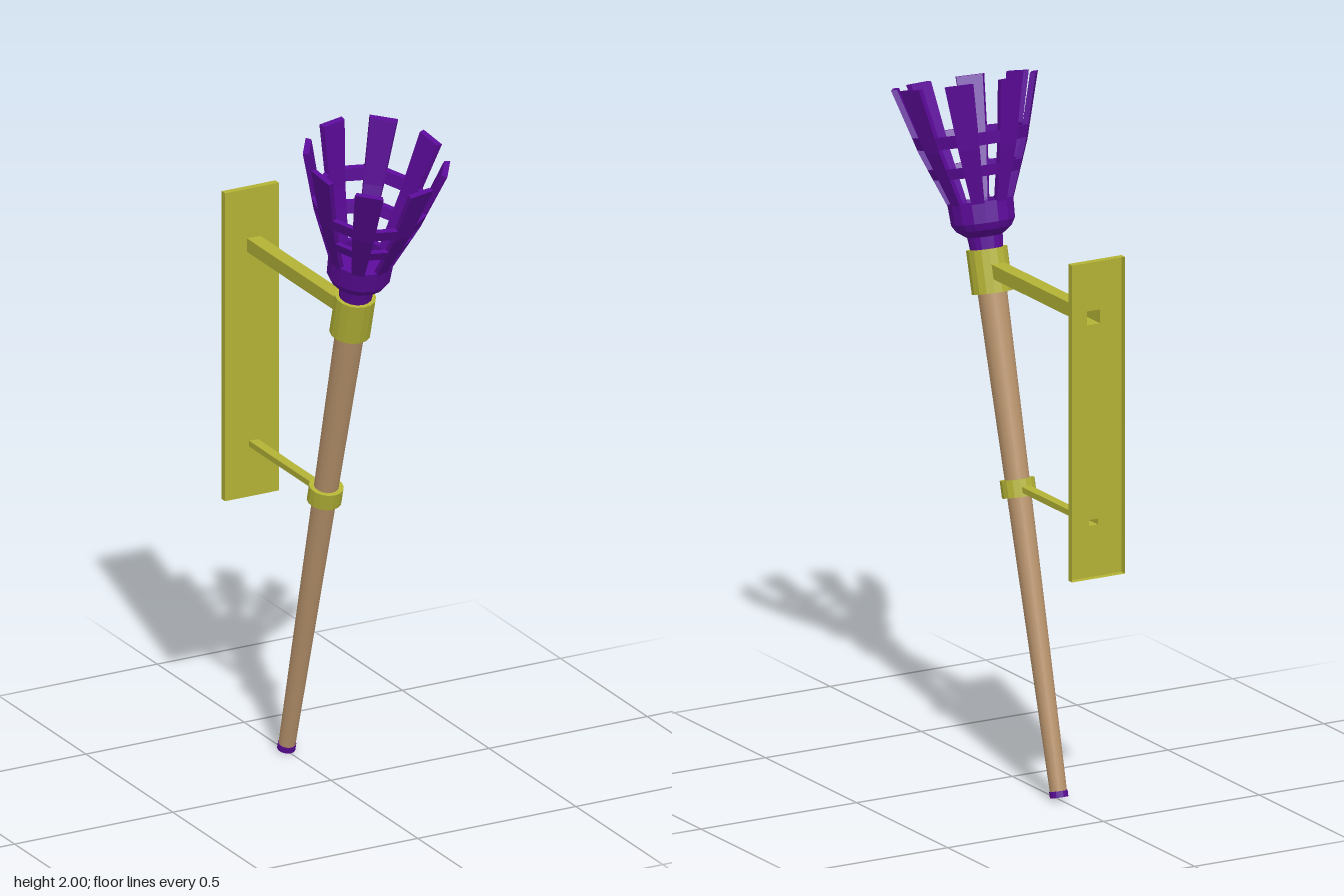
import * as THREE from 'three';

const TILT = Math.PI / 12;
const SIDES = 16;
const STEP = (Math.PI * 2) / SIDES;

const material = (color, flatShading = false) =>
  new THREE.MeshStandardMaterial({ color, flatShading, side: THREE.DoubleSide });
const purple = material(0x5a0a96, true);
const brass = material(0xb2b236, true);
const wood = material(0xb8936c);

function add(parent, name, geometry, mat) {
  const mesh = new THREE.Mesh(geometry, mat);
  mesh.name = name;
  parent.add(mesh);
  return mesh;
}

const points = (list) => list.map(([r, h]) => new THREE.Vector2(r, h));

// Closed wall profile: outer line going up, then the inner line back down
function wallProfile(outer, thickness) {
  const inner = outer.map(([r, h]) => [r - thickness, h]).reverse();
  return points([...outer, ...inner, outer[0]]);
}

// Straight hollow ring around the torch axis
function ring(outer, inner, bottom, top) {
  return new THREE.LatheGeometry(
    points([[outer, bottom], [outer, top], [inner, top], [inner, bottom], [outer, bottom]]), SIDES);
}

// Four-walled tube along z, open at both ends
function boxTube(width, height, z0, z1) {
  const g = new THREE.CylinderGeometry(Math.SQRT1_2, Math.SQRT1_2, 1, 4, 1, true);
  g.rotateY(Math.PI / 4).rotateX(Math.PI / 2);
  return g.scale(width, height, z1 - z0).translate(0, 0, (z0 + z1) / 2);
}

function rectangle(path, x0, y0, x1, y1) {
  path.moveTo(x0, y0);
  path.lineTo(x1, y0);
  path.lineTo(x1, y1);
  path.lineTo(x0, y1);
  path.closePath();
  return path;
}

// Flared basket: solid bowl, eight ribs and two rows of cross bands
function createBasket() {
  const basket = new THREE.Group();
  basket.name = 'basket';

  add(basket, 'bowl', new THREE.LatheGeometry(points([
    [0, 1.525], [0.046, 1.525], [0.05, 1.565], [0.078, 1.585], [0.09, 1.605],
    [0.093, 1.665], [0.077, 1.665], [0.077, 1.64], [0, 1.64],
  ]), SIDES), purple);

  const ribProfile = wallProfile(
    [[0.093, 1.66], [0.13, 1.755], [0.153, 1.815], [0.166, 1.86], [0.207, 2.0]], 0.017);
  const bandProfiles = [
    wallProfile([[0.123, 1.737], [0.134, 1.767]], 0.017),
    wallProfile([[0.156, 1.825], [0.166, 1.86]], 0.017),
  ];
  const ribSide = new THREE.ShapeGeometry(new THREE.Shape(ribProfile));

  for (let i = 0; i < SIDES; i += 2) {
    const start = i * STEP;
    add(basket, 'rib', new THREE.LatheGeometry(ribProfile, 1, start, STEP), purple);
    for (const angle of [start, start + STEP]) {
      add(basket, 'ribSide', ribSide, purple).rotation.y = angle - Math.PI / 2;
    }
    for (const profile of bandProfiles) {
      add(basket, 'crossBand', new THREE.LatheGeometry(profile, 1, start + STEP, STEP), purple);
    }
  }
  return basket;
}

// Leaning torch with the collars that hold it
function createTorch() {
  const torch = new THREE.Group();
  torch.name = 'torch';
  torch.position.set(0, 0.015, -0.255);
  torch.rotation.x = TILT;

  add(torch, 'handle',
    new THREE.CylinderGeometry(0.043, 0.024, 1.53, SIDES).translate(0, 0.765, 0), wood);
  add(torch, 'endCap',
    new THREE.CylinderGeometry(0.026, 0.026, 0.018, SIDES).translate(0, 0.001, 0), purple);
  add(torch, 'upperCollar', ring(0.058, 0.044, 1.407, 1.53), brass);
  add(torch, 'lowerCollar', ring(0.049, 0.034, 0.835, 0.884), brass);
  torch.add(createBasket());
  return torch;
}

// Wall plate, open at the back, with two hollow arms
function createBracket() {
  const bracket = new THREE.Group();
  bracket.name = 'bracket';
  const front = -0.445, back = -0.465;
  const arms = [
    { name: 'upperArm', width: 0.042, height: 0.04, y: 1.445, end: 0.08 },
    { name: 'lowerArm', width: 0.028, height: 0.017, y: 0.852, end: -0.07 },
  ];

  const face = rectangle(new THREE.Shape(), -0.09, 0.695, 0.08, 1.612);
  for (const { name, width, height, y, end } of arms) {
    const w = width / 2, h = height / 2;
    face.holes.push(rectangle(new THREE.Path(), -w, y - h, w, y + h));
    add(bracket, name, boxTube(width, height, front, end), brass).position.y = y;
  }
  add(bracket, 'plateFace', new THREE.ShapeGeometry(face), brass).position.z = front;
  add(bracket, 'plateRim', boxTube(0.17, 0.917, back, front), brass)
    .position.set(-0.005, 1.1535, 0);
  return bracket;
}

export function createModel() {
  const model = new THREE.Group();
  model.name = 'wallTorch';
  model.add(createTorch(), createBracket());
  return model;
}
